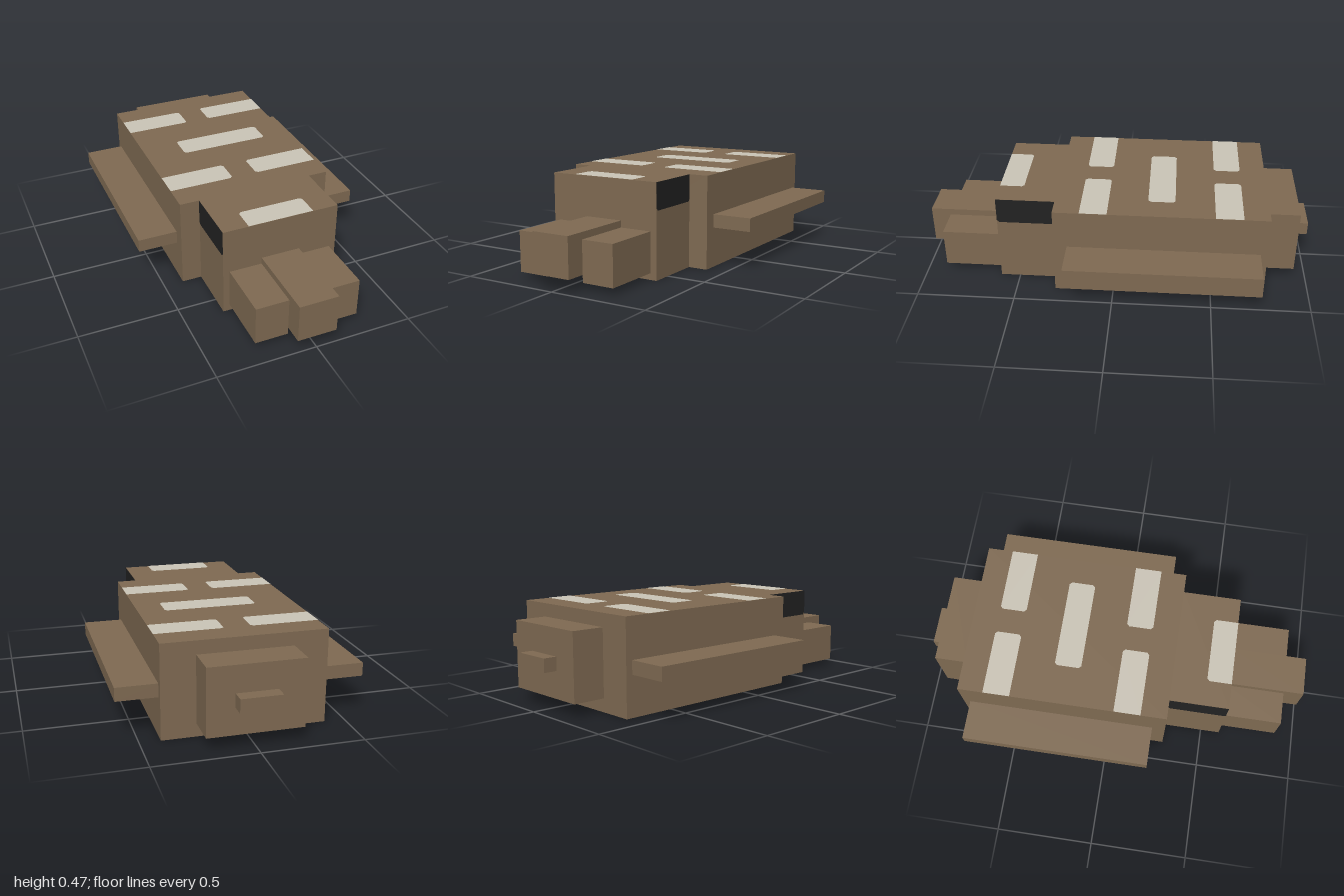
import * as THREE from 'three';

const hide = new THREE.MeshStandardMaterial({ name: 'brown hide', color: 0x7f6a52 });
const cream = new THREE.MeshStandardMaterial({ name: 'cream spots', color: 0xcbc5b7 });
const black = new THREE.MeshStandardMaterial({ name: 'black eyes', color: 0x222222 });

// Box given by its extents along each axis
function block(name, [x0, x1], [y0, y1], [z0, z1]) {
  const mesh = new THREE.Mesh(new THREE.BoxGeometry(x1 - x0, y1 - y0, z1 - z0), hide);
  mesh.position.set((x0 + x1) / 2, (y0 + y1) / 2, (z0 + z1) / 2);
  mesh.name = name;
  return mesh;
}

// Flat rectangle with small clipped corners: [lower left, lower right, upper right, upper left]
function patch(w, h, clips) {
  const a = w / 2, b = h / 2;
  const [c0, c1, c2, c3] = clips.map((c) => c * 0.012);
  return new THREE.ShapeGeometry(new THREE.Shape([
    [-a, -b + c0], [-a + c0, -b], [a - c1, -b], [a, -b + c1],
    [a, b - c2], [a - c2, b], [-a + c3, b], [-a, b - c3],
  ].map(([x, y]) => new THREE.Vector2(x, y))));
}

// Painted spot lying on the back
function spot(name, [x0, x1], [z0, z1], clips) {
  const geometry = patch(x1 - x0, z1 - z0, clips).rotateX(-Math.PI / 2);
  const mesh = new THREE.Mesh(geometry, cream);
  mesh.position.set((x0 + x1) / 2, 0.4685, (z0 + z1) / 2);
  mesh.name = name;
  return mesh;
}

export function createModel() {
  const model = new THREE.Group();
  model.name = 'creature';

  // Body, head, snout and tail
  model.add(
    block('body', [-0.4, 0.4], [0, 0.467], [-0.767, 0.3]),
    block('head', [-0.3, 0.3], [0, 0.467], [0.3, 0.6]),
    block('snout', [-0.1, 0.1], [0.07, 0.267], [0.6, 1]),
    block('tailBase', [-0.233, 0.233], [0.067, 0.4], [-0.933, -0.767]),
    block('tailTip', [-0.1, 0.1], [0.2, 0.267], [-1, -0.933]),
  );

  // Paired jaws, side fins and eyes
  for (const [side, s] of [['left', 1], ['right', -1]]) {
    const span = (a, b) => (s > 0 ? [a, b] : [-b, -a]);
    model.add(
      block(side + 'Jaw', span(0.1, 0.267), [0.033, 0.233], [0.6, 0.9]),
      block(side + 'Fin', span(0.4, 0.6), [0.2, 0.267], [-0.733, 0.233]),
    );
    const eye = new THREE.Mesh(patch(0.3, 0.134, [1, 1, 0, 0]).rotateY(s * Math.PI / 2), black);
    eye.position.set(s * 0.3015, 0.4, 0.45);
    eye.name = side + 'Eye';
    model.add(eye);

    // Paired spots running out to the edges of the body
    const clips = s > 0 ? [1, 0, 0, 1] : [0, 1, 1, 0];
    model.add(
      spot(side + 'RearSpot', span(0.065, 0.4), [-0.637, -0.5], clips),
      spot(side + 'ShoulderSpot', span(0.065, 0.4), [0.03, 0.167], clips),
    );
  }

  // Single spots
  model.add(
    spot('middleSpot', [-0.2, 0.267], [-0.303, -0.167], [1, 1, 1, 1]),
    spot('headSpot', [-0.17, 0.167], [0.475, 0.6], [0, 0, 1, 1]),
  );
  return model;
}
